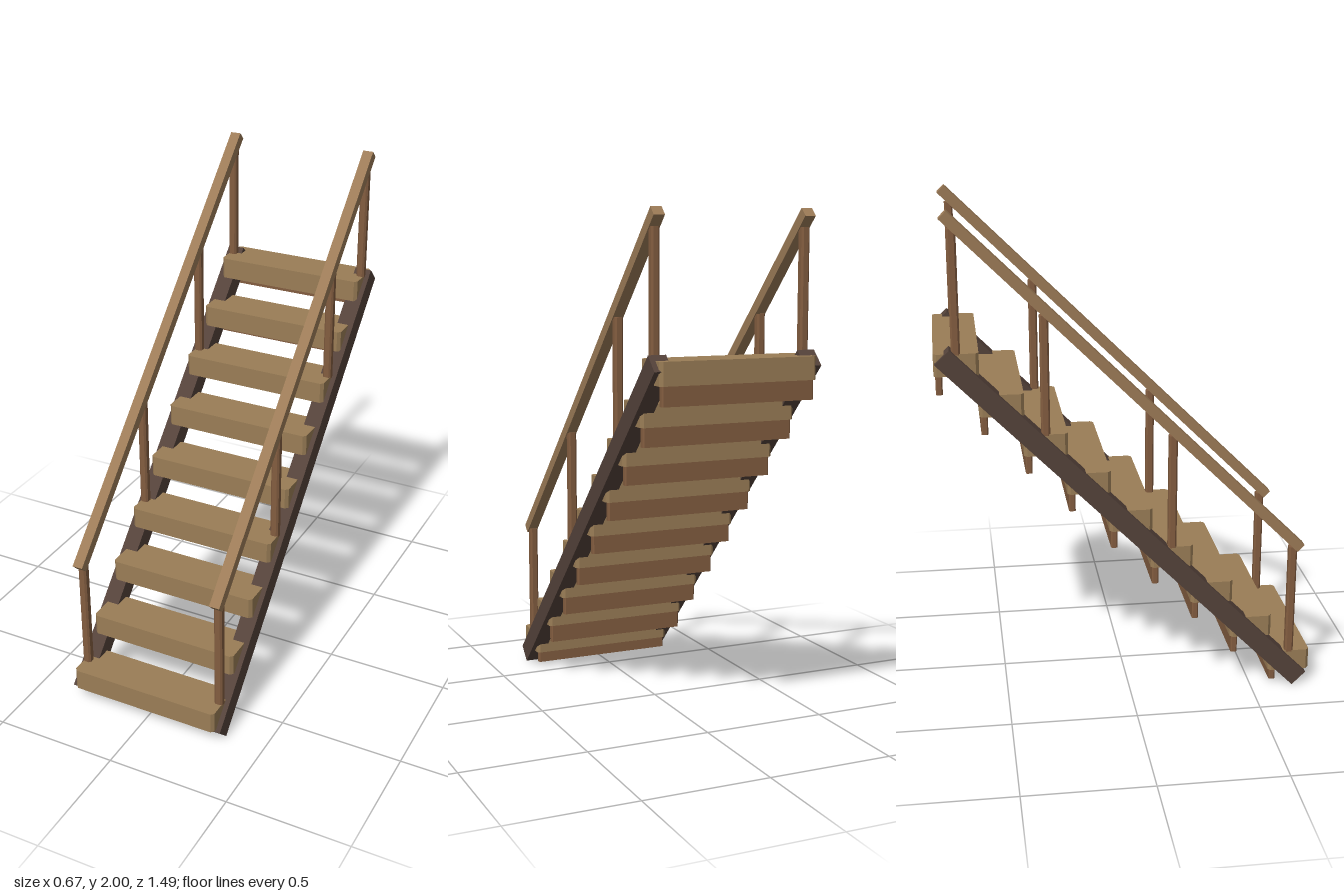
import * as THREE from 'three';

const wood = (color) => new THREE.MeshStandardMaterial({ color, flatShading: true });
const treadWood = wood(0x9a7d56);
const darkWood = wood(0x54423a);
const postWood = wood(0x835d40);
const railWood = wood(0x9c7b57);

const STEPS = 9, RISE = 0.165, TREAD_H = 0.087, TREAD_D = 0.17;
const stepZ = (i) => 0.66 - RISE * i;
const stepTop = (i) => 0.148 + RISE * i;

// Upright block with chamfered vertical edges, standing on y = 0
function chamferedBlock(w, h, d, c) {
  const x = w / 2, z = d / 2;
  const outline = [
    [x - c, -z], [x, -z + c], [x, z - c], [x - c, z],
    [-x + c, z], [-x, z - c], [-x, -z + c], [-x + c, -z],
  ].map(([a, b]) => new THREE.Vector2(a, b));
  return new THREE.ExtrudeGeometry(new THREE.Shape(outline), { depth: h, bevelEnabled: false })
    .rotateX(-Math.PI / 2);
}

function addPart(parent, name, geometry, material, x, y, z) {
  const mesh = new THREE.Mesh(geometry, material);
  mesh.name = name;
  mesh.position.set(x, y, z);
  parent.add(mesh);
  return mesh;
}

// Straight beam in the yz plane between two end centres
function addBeam(parent, name, material, x, w, t, [z0, y0], [z1, y1]) {
  const length = Math.hypot(z1 - z0, y1 - y0);
  const beam = addPart(parent, name, new THREE.BoxGeometry(w, t, length), material,
    x, (y0 + y1) / 2, (z0 + z1) / 2);
  beam.rotation.x = Math.atan2(y1 - y0, z0 - z1);
}

export function createModel() {
  const stairs = new THREE.Group();
  stairs.name = 'staircase';

  // Treads, each with a narrow board under its back edge
  const steps = new THREE.Group();
  steps.name = 'steps';
  stairs.add(steps);
  const treadGeo = chamferedBlock(0.63, TREAD_H, TREAD_D, 0.012);
  const riserGeo = chamferedBlock(0.61, 0.05, 0.026, 0.005);
  for (let i = 0; i < STEPS; i++) {
    const bottom = stepTop(i) - TREAD_H;
    addPart(steps, 'tread', treadGeo, treadWood, 0, bottom, stepZ(i));
    const riser = addPart(steps, 'riserBoard', riserGeo, postWood, 0, bottom - 0.046, stepZ(i) - 0.066);
    riser.scale.y = i === 0 ? 0.95 : 1.5;
    riser.position.y = bottom + 0.002 - 0.05 * riser.scale.y;
  }

  // Stringer, posts and handrail on each side
  const postGeo = chamferedBlock(0.034, 0.47, 0.034, 0.007);
  for (const side of [-1, 1]) {
    const flank = new THREE.Group();
    flank.name = side > 0 ? 'leftSide' : 'rightSide';
    stairs.add(flank);
    addBeam(flank, 'stringer', darkWood, side * 0.3, 0.07, 0.078, [0.7, 0.0275], [-0.7125, 1.46]);
    for (const i of [0, 3, 6, 8]) {
      addPart(flank, 'post', postGeo, postWood, side * 0.3, stepTop(i) - 0.005, stepZ(i));
    }
    addBeam(flank, 'handrail', railWood, side * 0.3, 0.043, 0.04, [0.69, 0.608], [-0.69, 1.986]);
  }
  return stairs;
}
